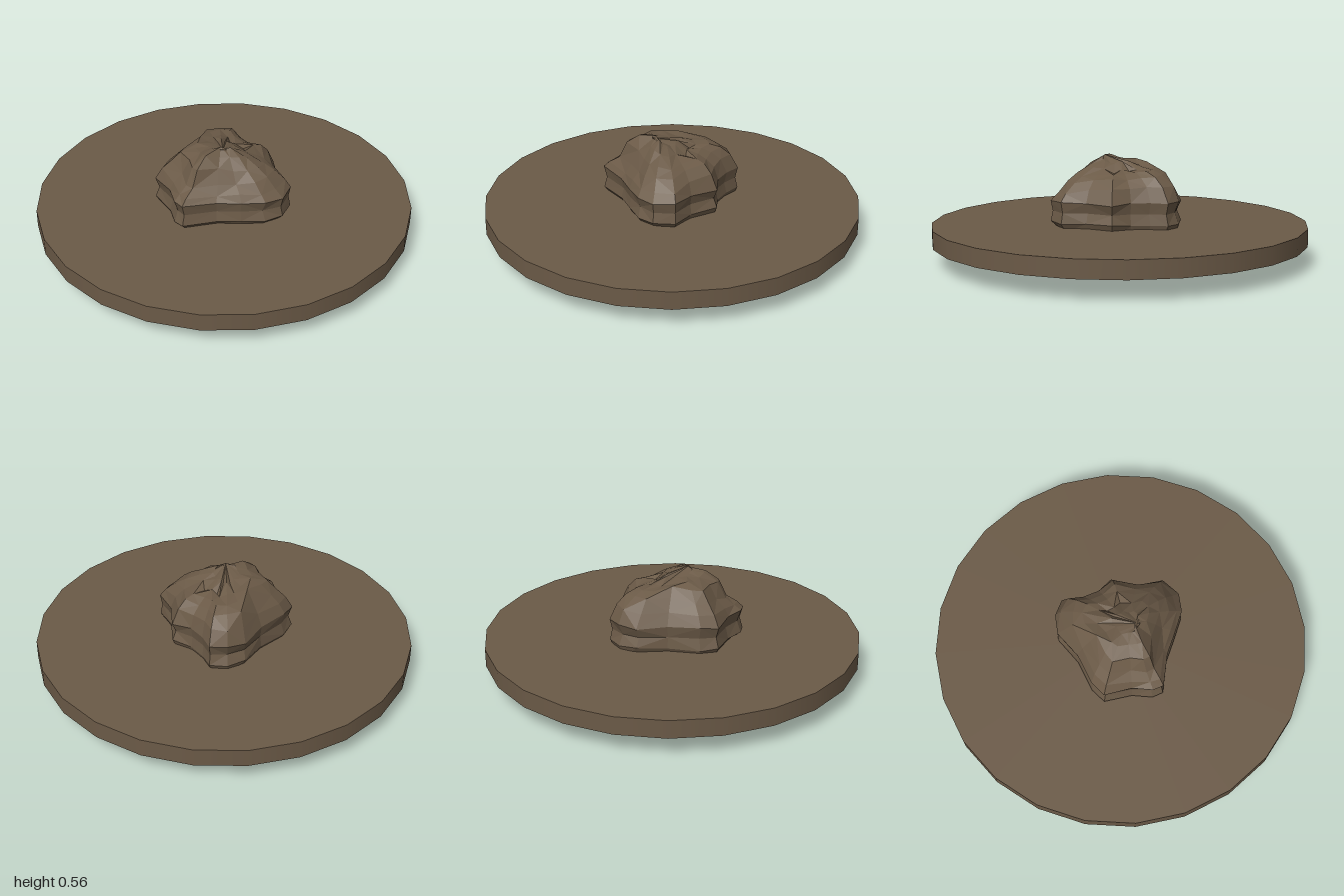
import * as THREE from 'three';

const CENTRE = { x: -0.03, y: 0.275, z: 0.02 };

// Widest outline of the boulder, as x and z
const OUTLINE = [
  [0.30, 0.05], [0.22, 0.18], [0.20, 0.31], [0.10, 0.365], [0, 0.345], [-0.10, 0.27],
  [-0.20, 0.19], [-0.36, 0.11], [-0.365, 0.05], [-0.32, -0.05], [-0.305, -0.2], [-0.22, -0.24],
  [-0.05, -0.26], [0.10, -0.32], [0.20, -0.30], [0.27, -0.24], [0.25, -0.15], [0.25, -0.05],
];

// Ring scales, and the height of each ring above the middle in four directions
const SCALES = [1, 0.9, 0.75, 0.6, 0.4, 0.2];
const HEIGHTS = [
  [0.06, 0.13, 0.175, 0.19, 0.20, 0.24],    // +x
  [0.05, 0.09, 0.14, 0.19, 0.245, 0.27],    // +z
  [0.07, 0.095, 0.13, 0.22, 0.262, 0.272],  // -x
  [0.05, 0.13, 0.19, 0.235, 0.238, 0.245],  // -z
];

function seeded(seed) {
  return () => {
    seed = (seed * 16807) % 2147483647;
    return seed / 2147483647 - 0.5;
  };
}

function boulderGeometry() {
  const rand = seeded(71);
  const n = OUTLINE.length;
  const upper = SCALES.map((s, level) => OUTLINE.map(([x, z]) => {
    const dx = x - CENTRE.x, dz = z - CENTRE.z;
    const turn = ((Math.atan2(dz, dx) / (Math.PI / 2)) + 4) % 4;
    const q = Math.floor(turn), f = turn - q;
    const h = HEIGHTS[q][level] * (1 - f) + HEIGHTS[(q + 1) % 4][level] * f;
    const k = level === 0 ? 1 : s * (1 + rand() * 0.07);
    return [CENTRE.x + dx * k, h + rand() * 0.02, CENTRE.z + dz * k];
  }));
  const waist = OUTLINE.map(([x, z]) => {
    const k = 0.95 + rand() * 0.05;
    return [CENTRE.x + (x - CENTRE.x) * k, 0, CENTRE.z + (z - CENTRE.z) * k];
  });
  // The underside mirrors the top
  const lower = upper.map((ring) => ring.map(([x, h, z]) => [x, -h, z])).reverse();
  const rings = [...lower, waist, ...upper];

  const points = rings.flat();
  const bottom = points.push([-0.07, -0.275, 0.08]) - 1;
  const top = points.push([-0.07, 0.275, 0.08]) - 1;
  const index = [];
  for (let r = 0; r < rings.length - 1; r++) {
    for (let i = 0; i < n; i++) {
      const a = r * n + i, b = r * n + (i + 1) % n;
      const c = a + n, d = b + n;
      if ((r + i) % 2) index.push(a, c, b, b, c, d);
      else index.push(a, c, d, a, d, b);
    }
  }
  const last = (rings.length - 1) * n;
  for (let i = 0; i < n; i++) {
    const j = (i + 1) % n;
    index.push(bottom, i, j, top, last + j, last + i);
  }
  const geometry = new THREE.BufferGeometry();
  geometry.setAttribute('position', new THREE.Float32BufferAttribute(points.flat(), 3));
  geometry.setIndex(index);
  const faceted = geometry.toNonIndexed();
  faceted.computeVertexNormals();
  return faceted;
}

export function createModel() {
  const model = new THREE.Group();
  const earth = new THREE.MeshStandardMaterial({ color: 0x6b5a47 });
  earth.name = 'earthBrown';

  // Round slab of ground
  const ground = new THREE.Mesh(new THREE.CylinderGeometry(1, 1, 0.095, 24), earth);
  ground.name = 'groundDisc';
  ground.position.y = 0.148;
  model.add(ground);

  // Faceted boulder set through the slab
  const boulder = new THREE.Mesh(boulderGeometry(), earth);
  boulder.name = 'boulder';
  boulder.position.y = CENTRE.y;
  model.add(boulder);

  return model;
}
